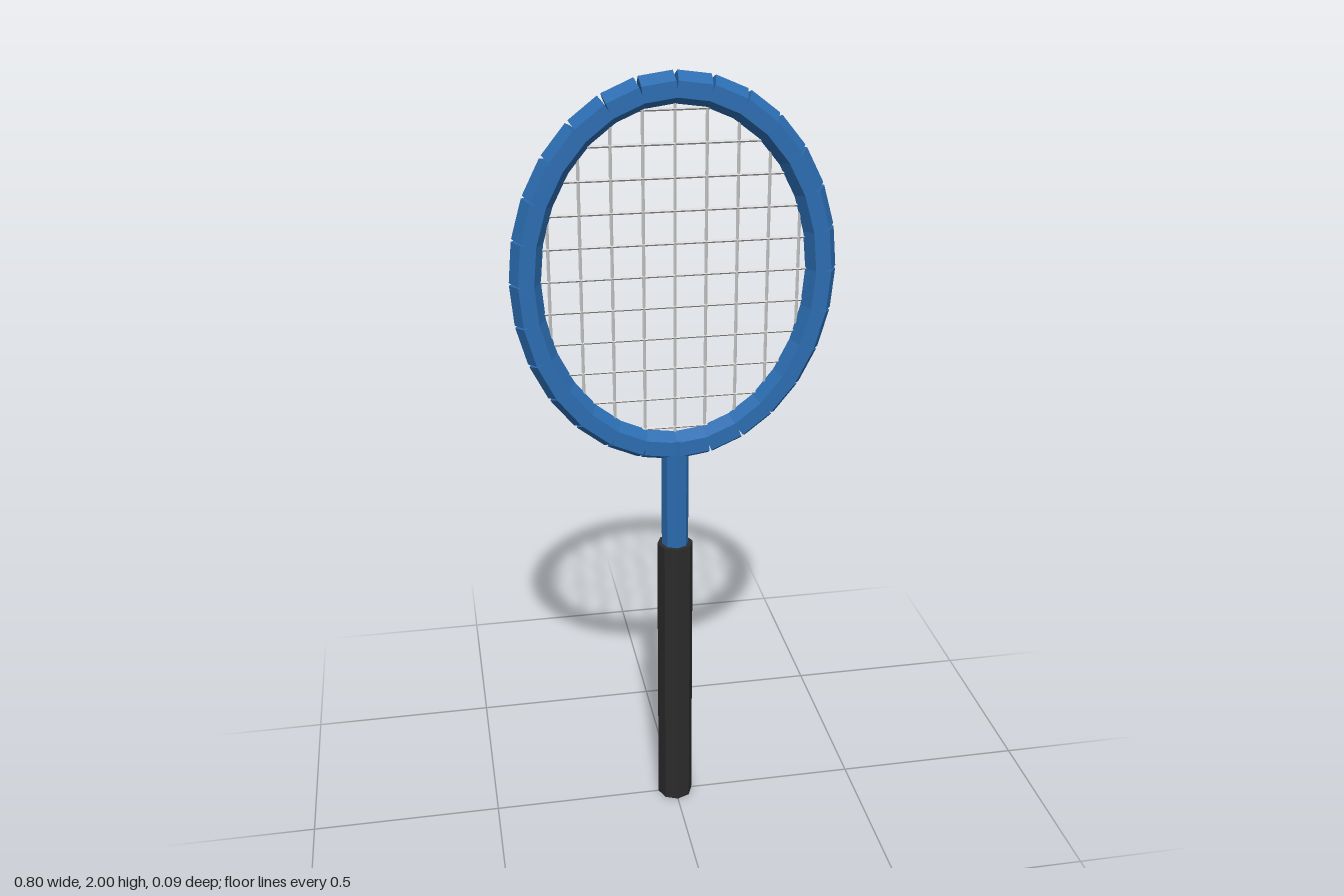
import * as THREE from 'three';

export function createModel() {
  const model = new THREE.Group();
  model.name = 'racket';

  const material = (name, color) => {
    const m = new THREE.MeshStandardMaterial({ color, flatShading: true });
    m.name = name;
    return m;
  };
  const blue = material('blue frame', 0x2b6cb0);
  const black = material('black grip', 0x2b2b2b);
  const grey = material('string grey', 0xcccccc);

  // Straight rod between two points in the z = 0 plane
  const rod = (name, x0, y0, x1, y1, radius, sides, mat, parent) => {
    const geo = new THREE.CylinderGeometry(radius, radius, Math.hypot(x1 - x0, y1 - y0), sides);
    geo.rotateY(Math.PI / 2);
    const mesh = new THREE.Mesh(geo, mat);
    mesh.name = name;
    mesh.position.set((x0 + x1) / 2, (y0 + y1) / 2, 0);
    mesh.rotation.z = -Math.atan2(x1 - x0, y1 - y0);
    parent.add(mesh);
  };

  // Handle: grip and shaft, both octagonal
  rod('grip', 0, 0, 0, 0.79, 0.047, 8, black, model);
  rod('shaft', 0, 0.79, 0, 1.09, 0.035, 8, blue, model);

  // Oval hoop of short hexagonal segments
  const centreY = 1.515, a = 0.361, b = 0.447, tube = 0.038, count = 28;
  const hoop = new THREE.Group();
  hoop.name = 'hoop';
  model.add(hoop);
  const at = (i) => {
    const t = (i / count) * Math.PI * 2;
    return [a * Math.sin(t), centreY + b * Math.cos(t)];
  };
  for (let i = 0; i < count; i++) {
    rod('hoopSegment', ...at(i), ...at(i + 1), tube, 6, blue, hoop);
  }

  // Strings, each ending inside the hoop
  const strings = new THREE.Group();
  strings.name = 'strings';
  model.add(strings);
  const sa = a - 0.015, sb = b - 0.015, thickness = 0.004;
  for (let i = -4; i <= 4; i++) {
    const x = i * 0.076;
    const h = sb * Math.sqrt(1 - (x / sa) ** 2);
    rod('mainString', x, centreY - h, x, centreY + h, thickness, 4, grey, strings);
  }
  for (let i = -5; i <= 5; i++) {
    const y = i * 0.0793;
    const w = sa * Math.sqrt(1 - (y / sb) ** 2);
    rod('crossString', -w, centreY + y, w, centreY + y, thickness, 4, grey, strings);
  }

  return model;
}
